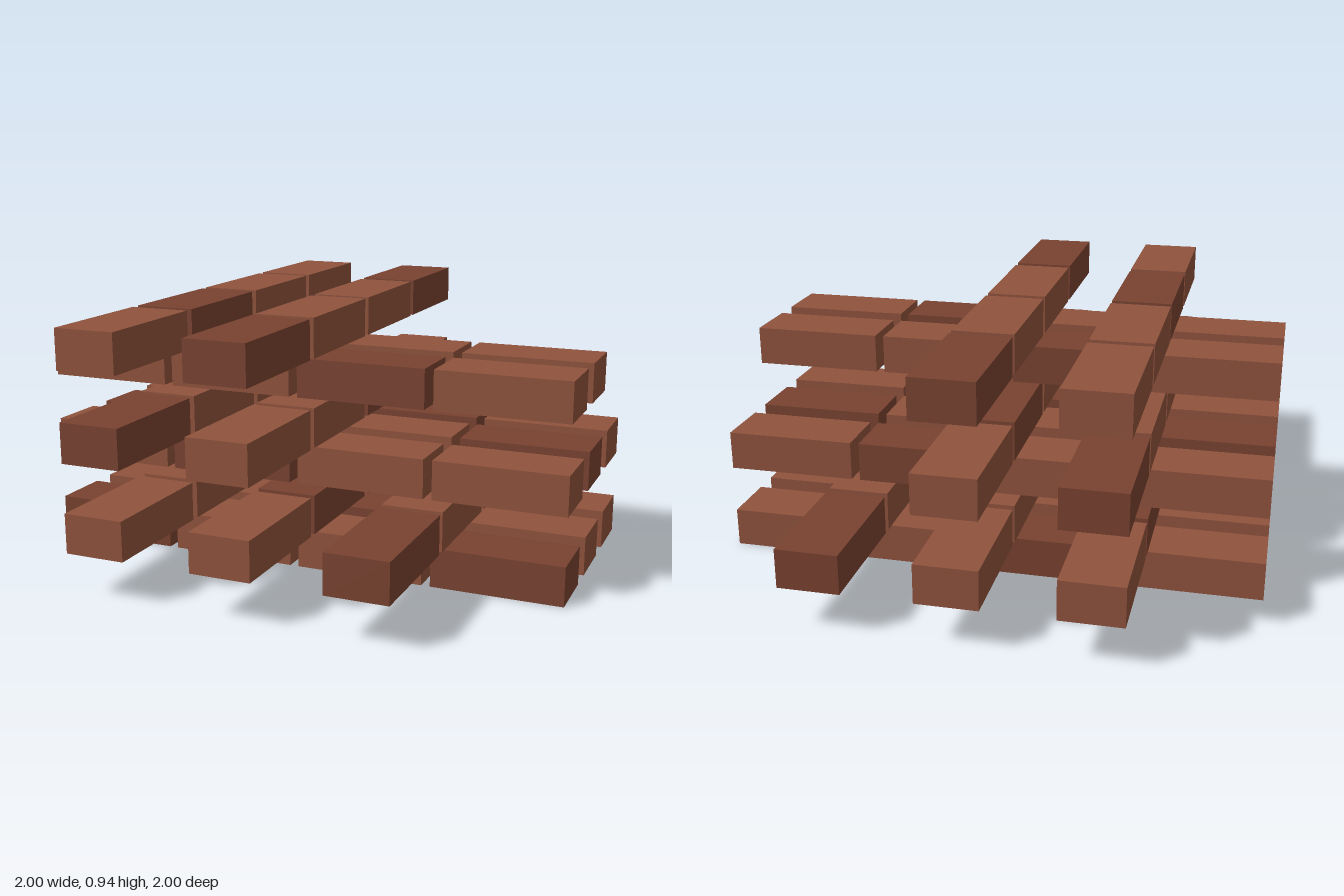
import * as THREE from 'three';

const LENGTH = 0.476, HEIGHT = 0.143, WIDTH = 0.222;
const STEP = 0.508;   // spacing of bricks along a row
const LAYER = 0.159;  // spacing of layers

export function createModel() {
  const model = new THREE.Group();
  model.name = 'brickStack';

  const geometry = new THREE.BoxGeometry(LENGTH, HEIGHT, WIDTH);
  const lightClay = new THREE.MeshStandardMaterial({ color: 0x8f523c });
  const darkClay = new THREE.MeshStandardMaterial({ color: 0x794230 });

  // Rows present in each layer; the upper layers are unfinished
  const layers = [[0, 1, 2], [0, 1, 2], [0, 1, 2], [0, 1], [1, 2], [0, 1]];

  layers.forEach((rows, level) => {
    const alongZ = level % 2 === 1; // layers cross one another
    const spacing = alongZ ? 0.476 : 0.317;
    const layer = new THREE.Group();
    layer.name = `layer${level + 1}`;
    layer.position.y = HEIGHT / 2 + level * LAYER;

    for (const row of rows) {
      // Every third brick is dark, shifting from row to row
      const darkSlot = (alongZ ? row + level : row + 1 + 2 * level) % 3;
      const across = (row - 1) * spacing;
      for (let i = 0; i < 4; i++) {
        const brick = new THREE.Mesh(geometry, i % 3 === darkSlot ? darkClay : lightClay);
        brick.name = 'brick';
        const along = (i - 1.5) * STEP;
        if (alongZ) {
          brick.rotation.y = Math.PI / 2;
          brick.position.set(across, 0, along);
        } else {
          brick.position.set(along, 0, across);
        }
        layer.add(brick);
      }
    }
    model.add(layer);
  });

  return model;
}
